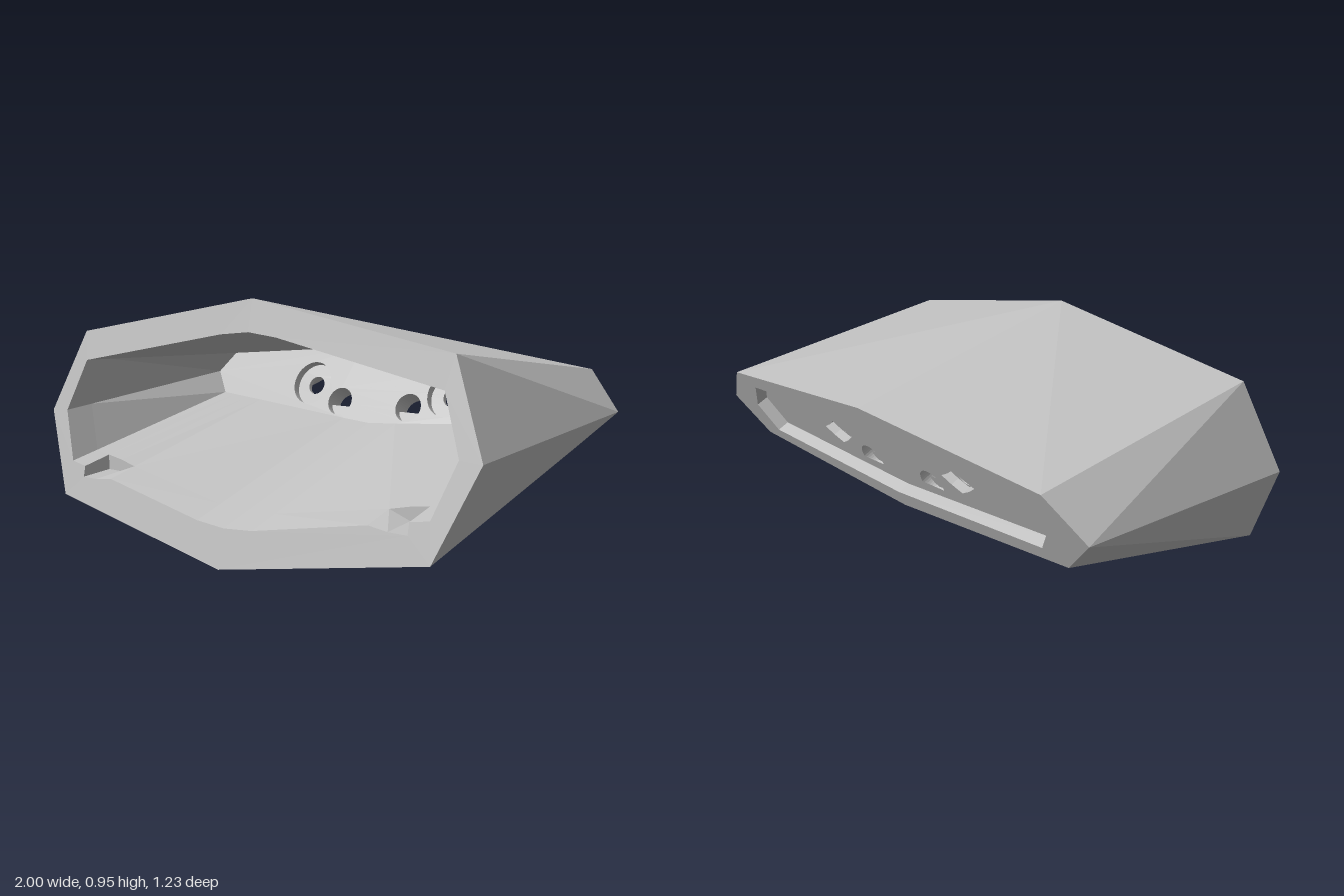
import * as THREE from 'three';

const grey = new THREE.MeshStandardMaterial({ color: 0xc0c0c0, side: THREE.DoubleSide });
grey.name = 'plainGrey';

// Tilt of the back wall and a point at its centre
const TILT = 0.435, COS = Math.cos(TILT), SIN = Math.sin(TILT);
const BACK = { y: 0.525, z: -0.515 };
const RECESS = 0.05, WALL = 0.14;

const frontPoint = ([x, y]) => [x, y, 0.62 - 0.2094 * y];
// Point in back-wall coordinates: x, height along the wall, depth towards the front
const wallPoint = (x, v, d) => [x, BACK.y + v * COS + d * SIN, BACK.z - v * SIN + d * COS];
const wallHeight = (y) => (y - BACK.y - WALL * SIN) / COS;
const lerp = (a, b, t) => a.map((n, i) => n + (b[i] - n) * t);

// Faceted skin joining half-rings (x >= 0, top to bottom), mirrored to the other side
function strip(...rings) {
  const pos = [];
  const tri = (a, b, c) => {
    pos.push(...a, ...b, ...c);
    for (const p of [a, c, b]) pos.push(-p[0], p[1], p[2]);
  };
  for (let r = 0; r + 1 < rings.length; r++) {
    const a = rings[r], b = rings[r + 1];
    for (let i = 0; i + 1 < a.length; i++) {
      if (i < 2) {
        tri(a[i], a[i + 1], b[i + 1]);
        tri(a[i], b[i + 1], b[i]);
      } else {
        tri(a[i], a[i + 1], b[i]);
        tri(a[i + 1], b[i + 1], b[i]);
      }
    }
  }
  const geo = new THREE.BufferGeometry();
  geo.setAttribute('position', new THREE.Float32BufferAttribute(pos, 3));
  geo.computeVertexNormals();
  return geo;
}

// Full closed outline from a half outline
function outline(half) {
  const mirrored = half.slice(1, -1).reverse().map(([x, y]) => [-x, y]);
  return [...half, ...mirrored].map(([x, y]) => new THREE.Vector2(x, y));
}

function circle(x, y, r) {
  const path = new THREE.Path();
  path.absarc(x, y, r, 0, Math.PI * 2, true);
  return path;
}

export function createModel() {
  const model = new THREE.Group();
  model.name = 'housing';
  const add = (name, geo, parent = model) => {
    const mesh = new THREE.Mesh(geo, grey);
    mesh.name = name;
    parent.add(mesh);
    return mesh;
  };

  // Outer shell
  const outerHalf = [[0, 0.955], [0.86, 0.805], [1, 0.48], [0.86, 0.155], [0, 0]];
  const outerFront = outerHalf.map(frontPoint);
  const outerBack = [[0, 0.237], [0.86, 0.162], [1, 0], [0.86, -0.16], [0, -0.237]]
    .map(([x, v]) => wallPoint(x, v, 0));
  add('outerShell', strip(outerFront, outerBack));

  // Cavity, with a small notch cut into the floor behind each lower front corner
  const notch = { 5: 0.277, 6: 0.277, 7: 0.265, 8: 0.245 };
  const cavityHalf = [[0, 0.835], [0.13, 0.822], [0.835, 0.69], [0.915, 0.485], [0.84, 0.29],
    [0.765, 0.277], [0.765, 0.235], [0.69, 0.235], [0.61, 0.245], [0.13, 0.155], [0, 0.145]];
  const endHalf = [[0, 0.725], [0.13, 0.717], [0.83, 0.66], [0.9, 0.57], [0.83, 0.48],
    [0.765, 0.475], [0.765, 0.475], [0.69, 0.469], [0.61, 0.463], [0.13, 0.424], [0, 0.415]];
  const cavityFront = cavityHalf.map(frontPoint);
  const cavityEnd = endHalf.map(([x, y]) => wallPoint(x, wallHeight(y), WALL));
  const smoothFront = cavityHalf.map(([x, y], i) => frontPoint([x, notch[i] ?? y]));
  const behindNotch = smoothFront.map((p, i) => lerp(p, cavityEnd[i], 0.14));
  const notchEnd = behindNotch.map((p, i) =>
    (i === 6 || i === 7 ? [p[0], cavityHalf[i][1] + 0.01, p[2]] : p));
  add('cavity', strip(cavityEnd, behindNotch, notchEnd, cavityFront));

  // Sloping front rim
  const rim = new THREE.Shape(outline(outerHalf));
  rim.holes.push(new THREE.Path(outline(cavityHalf)));
  const rimGeo = new THREE.ShapeGeometry(rim);
  const rp = rimGeo.attributes.position;
  for (let i = 0; i < rp.count; i++) rp.setZ(i, 0.62 - 0.2094 * rp.getY(i));
  rimGeo.computeVertexNormals();
  add('frontRim', rimGeo);

  // Back rim and the walls of its shallow recess
  const recessHalf = [[0, 0.155], [0.76, 0.11], [0.83, 0], [0.76, -0.115], [0, -0.17]];
  const recessAt = (d) => recessHalf.map(([x, v]) => wallPoint(x, v, d));
  add('backRim', strip(outerBack, recessAt(0)));
  add('recessWalls', strip(recessAt(0), recessAt(RECESS)));

  // Back wall in three layers: rear pockets, screw holes, front counterbores
  const wall = new THREE.Group();
  wall.name = 'backWall';
  wall.position.set(0, BACK.y, BACK.z);
  wall.rotation.x = -TILT;
  model.add(wall);

  const pocket = (x, y) => new THREE.Path(
    [[-0.085, 0.005], [-0.04, 0.03], [0, 0.06], [0.04, 0.03], [0.085, 0.005],
      [0.045, -0.025], [0, -0.05], [-0.045, -0.025]]
      .map(([px, py]) => new THREE.Vector2(x + px, y + py)));
  const endOutline = endHalf.filter((p, i) => !(i in notch)).map(([x, y]) => [x, wallHeight(y)]);
  const layers = [
    ['rearPocketLayer', recessHalf, RECESS, 0.085, pocket],
    ['screwHoleLayer', recessHalf, 0.085, 0.105, (x, y) => circle(x, y, 0.04)],
    ['counterboreLayer', endOutline, 0.105, WALL, (x, y) => circle(x, y, 0.096)],
  ];
  for (const [name, half, from, to, screwHole] of layers) {
    const shape = new THREE.Shape(outline(half));
    for (const s of [-1, 1]) {
      shape.holes.push(screwHole(s * 0.345, -0.033));
      shape.holes.push(circle(s * 0.173, -0.104, 0.06));
    }
    const geo = new THREE.ExtrudeGeometry(shape, { depth: to - from, bevelEnabled: false, curveSegments: 20 });
    add(name, geo, wall).position.z = from;
  }
  return model;
}
